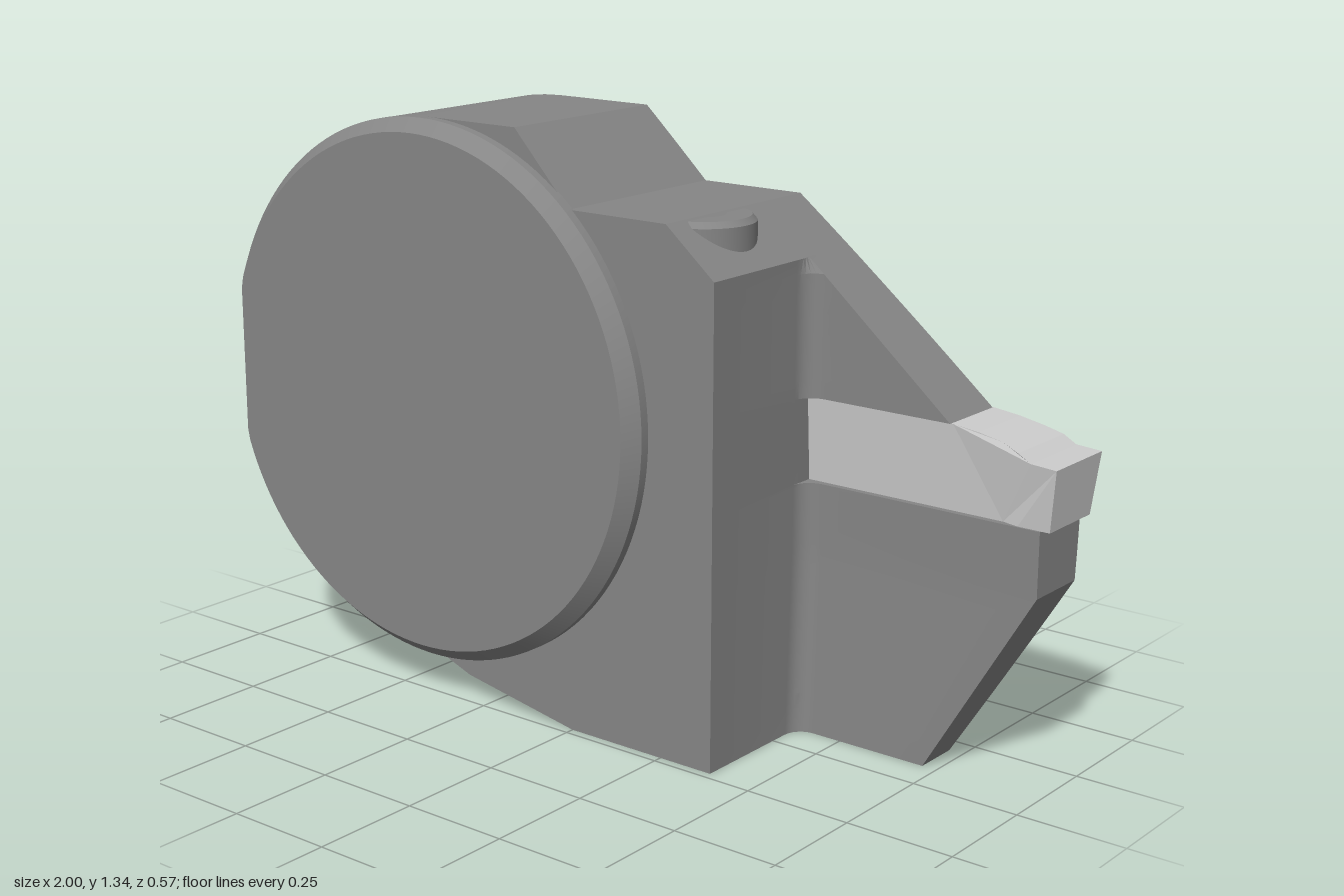
import * as THREE from 'three';
import { toCreasedNormals } from 'three/addons/utils/BufferGeometryUtils.js';

const CX = -0.407, CY = 0.713, R = 0.622; // round part of the head
const FRONT = 0.23, STEP = 0.385, FILLET = 0.045;

const dark = new THREE.MeshStandardMaterial({ color: 0x868686 });
const light = new THREE.MeshStandardMaterial({ color: 0xcccccc });

function add(group, name, geometry, material) {
  const mesh = new THREE.Mesh(geometry, material);
  mesh.name = name;
  group.add(mesh);
  return mesh;
}

// Right edge of the body as [y, x]; repeated y values make level ledges
const RIGHT = [
  [0, 0.715], [0.43, 0.965], [0.575, 0.965], [0.575, STEP], [0.765, STEP],
  [0.765, 0.745], [1.07, STEP], [1.175, 0.26], [1.175, 0], [CY + R, -0.15],
];

// Left edge: sloping foot, then the circle cut by a flat
function leftEdge(y) {
  if (y < 0.055) return -0.31 * y / 0.055;
  if (y < CY - R) return THREE.MathUtils.mapLinear(y, 0.055, CY - R, -0.31, CX);
  return Math.max(-1, CX - Math.sqrt(Math.max(0, R * R - (y - CY) ** 2)));
}

// Level cross-section: front face, fillet into the thin blade, bowed back, slanted back corner
function section(y, xr) {
  const xl = leftEdge(y);
  const back = -0.275 + 0.144 * (y - 0.722) ** 2;
  const blade = -0.105 + 0.015 * Math.max(0, 1 - y / 0.43);
  const slant = (x) => -0.275 + (-0.64 - x) * 0.986;
  const pts = [[xl, FRONT], [Math.min(STEP, xr), FRONT]];
  for (let i = 0; i <= 6; i++) {
    const a = (i / 6) * Math.PI / 2;
    const x = STEP + FILLET * (1 - Math.cos(a));
    pts.push([Math.min(x, xr), blade + FILLET * (1 - Math.sin(a))]);
  }
  const corner = -0.64 - (back + 0.275) / 0.986;
  pts.push([xr, blade], [xr, back], [Math.max(xl, corner), back], [xl, Math.max(back, slant(xl))]);
  return pts.map(([x, z]) => new THREE.Vector3(x, y, z));
}

function bodyGeometry() {
  // Heights: knots of the outline plus even steps round the circle
  const levels = [0.055];
  for (let i = 0; i <= 40; i++) levels.push(CY - R * Math.cos((i / 40) * Math.PI));
  const rows = [];
  for (let k = 0; k < RIGHT.length - 1; k++) {
    const [y0, x0] = RIGHT[k], [y1, x1] = RIGHT[k + 1];
    rows.push(section(y0, x0));
    levels.filter((y) => y > y0 + 1e-4 && y < y1 - 1e-4).sort((a, b) => a - b)
      .forEach((y) => rows.push(section(y, THREE.MathUtils.mapLinear(y, y0, y1, x0, x1))));
  }
  rows.push(section(...RIGHT[RIGHT.length - 1]));

  const out = [];
  const tri = (a, b, c) => {
    const area = b.clone().sub(a).cross(c.clone().sub(a)).length();
    if (area > 1e-8) out.push(...a.toArray(), ...b.toArray(), ...c.toArray());
  };
  const n = rows[0].length;
  for (let r = 0; r < rows.length - 1; r++) {
    const a = rows[r], b = rows[r + 1];
    for (let i = 0; i < n; i++) {
      const j = (i + 1) % n;
      tri(a[i], a[j], b[j]);
      tri(a[i], b[j], b[i]);
    }
  }
  // Bottom and top faces, fanned from the back left corner
  const low = rows[0], high = rows[rows.length - 1], hub = n - 2;
  for (let i = 0; i < n; i++) {
    const j = (i + 1) % n;
    tri(low[hub], low[j], low[i]);
    tri(high[hub], high[i], high[j]);
  }
  const g = new THREE.BufferGeometry();
  g.setAttribute('position', new THREE.Float32BufferAttribute(out, 3));
  return toCreasedNormals(g, 0.3);
}

// Round front pad with a bevelled rim and one flat side
function padGeometry() {
  const profile = [[R, 0.225], [R, 0.252], [0.592, 0.285], [0, 0.285]];
  const g = new THREE.LatheGeometry(profile.map((p) => new THREE.Vector2(...p)), 128);
  g.rotateX(Math.PI / 2);
  const p = g.attributes.position;
  for (let i = 0; i < p.count; i++) {
    const limit = p.getZ(i) > 0.28 ? -0.97 : -1;
    p.setX(i, Math.max(p.getX(i), limit - CX));
  }
  g.translate(CX, CY, 0);
  return toCreasedNormals(g, 0.3);
}

// Cutting insert: slim shank, wider tip, sides drawn in towards the bottom
function insertGeometry() {
  const outline = [
    [0.385, 0.575], [0.87, 0.575], [0.91, 0.575], [0.985, 0.575], [1, 0.712],
    [0.94, 0.716], [0.91, 0.733], [0.87, 0.747], [0.81, 0.758], [0.75, 0.765], [0.385, 0.765],
  ];
  const shape = new THREE.Shape(outline.map((p) => new THREE.Vector2(...p)));
  const g = new THREE.ExtrudeGeometry(shape, { depth: 1, bevelEnabled: false });
  const p = g.attributes.position;
  for (let i = 0; i < p.count; i++) {
    const half = (p.getX(i) > 0.9 ? 0.094 : 0.084) - 0.08 * Math.max(0, 0.712 - p.getY(i));
    p.setZ(i, -0.193 + (p.getZ(i) > 0.5 ? half : -half));
  }
  g.computeVertexNormals();
  return g;
}

// Clamping screw head, rising out of the sloping shoulder
function screwGeometry() {
  const profile = [[0.115, 1.0], [0.115, 1.158], [0.104, 1.171], [0.05, 1.171], [0.05, 1.12], [0, 1.12]];
  const g = new THREE.LatheGeometry(profile.map((p) => new THREE.Vector2(...p)), 48);
  g.translate(0.23, 0, 0.065);
  return toCreasedNormals(g, 0.4);
}

export function createModel() {
  const group = new THREE.Group();
  group.name = 'groovingHead';
  add(group, 'body', bodyGeometry(), dark);
  add(group, 'frontPad', padGeometry(), dark);
  add(group, 'clampScrew', screwGeometry(), dark);
  add(group, 'cuttingInsert', insertGeometry(), light);
  return group;
}
